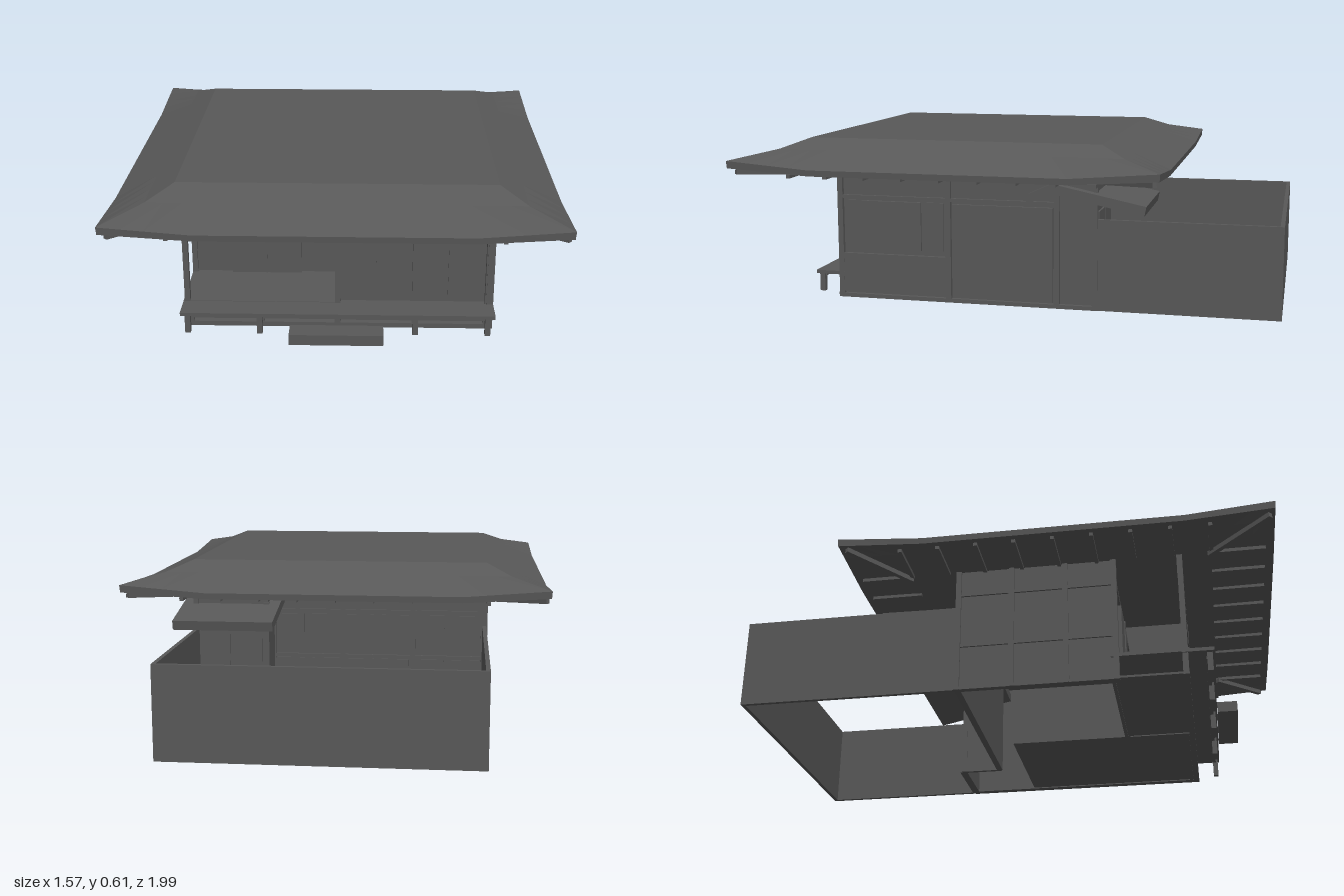
import * as THREE from 'three';

const material = new THREE.MeshStandardMaterial({ color: 0x585858, flatShading: true, side: THREE.DoubleSide });

export function createModel() {
  const model = new THREE.Group();
  const house = new THREE.Group();
  house.name = 'house';
  house.rotation.y = -0.008;
  model.add(house);

  const add = (name, geometry) => {
    const mesh = new THREE.Mesh(geometry, material);
    mesh.name = name;
    house.add(mesh);
    return mesh;
  };
  // Box given by its limits on each axis
  const box = (name, x0, x1, y0, y1, z0, z1) => {
    const mesh = add(name, new THREE.BoxGeometry(x1 - x0, y1 - y0, z1 - z0));
    mesh.position.set((x0 + x1) / 2, (y0 + y1) / 2, (z0 + z1) / 2);
    return mesh;
  };
  const post = (name, x, z, y0 = 0, y1 = 0.485, r = 0.01) => box(name, x - r, x + r, y0, y1, z - r, z + r);

  // Hipped roof: rectangular rings [half width, half depth, height, corner lift] from the top to the underside
  const roofZ = 0.2, perSide = 20;
  const rings = [
    [0, 0, 0.605, 0], [0.555, 0.552, 0.605, 0], [0.645, 0.647, 0.567, 0], [0.781, 0.788, 0.511, 0.025],
    [0.779, 0.786, 0.489, 0.02], [0.71, 0.71, 0.488, 0.01], [0.56, 0.56, 0.486, 0], [0, 0, 0.486, 0],
  ];
  const positions = [], index = [], count = perSide * 4;
  for (const [hx, hz, y, lift] of rings) {
    for (let i = 0; i < count; i++) {
      const side = Math.floor(i / perSide), s = 1 - 2 * (i % perSide) / perSide;
      const [x, z] = [[1, s], [s, -1], [-1, -s], [-s, 1]][side];
      positions.push(x * hx, y + lift * Math.max(0, (Math.abs(s) - 0.6) / 0.4), z * hz + roofZ);
    }
  }
  for (let r = 0; r < rings.length - 1; r++) {
    for (let i = 0; i < count; i++) {
      const j = (i + 1) % count, a = r * count, b = a + count;
      index.push(a + i, b + i, b + j, a + i, b + j, a + j);
    }
  }
  const roofGeometry = new THREE.BufferGeometry();
  roofGeometry.setAttribute('position', new THREE.Float32BufferAttribute(positions, 3));
  roofGeometry.setIndex(index);
  const roof = roofGeometry.toNonIndexed();
  roof.computeVertexNormals();
  add('roof', roof);

  // Rafters under the four eaves and along the hips
  for (let i = -4; i <= 4; i++) {
    const t = i * 0.14;
    for (const s of [-1, 1]) {
      const a = 0.56 * s, b = 0.755 * s;
      box('sideRafter', Math.min(a, b), Math.max(a, b), 0.476, 0.489, roofZ + t - 0.007, roofZ + t + 0.007);
      box('endRafter', t - 0.007, t + 0.007, 0.476, 0.489, roofZ + Math.min(a, b), roofZ + Math.max(a, b));
    }
  }
  for (const sx of [-1, 1]) for (const sz of [-1, 1]) {
    const hip = add('hipRafter', new THREE.BoxGeometry(0.018, 0.018, 0.29));
    hip.position.set(sx * 0.66, 0.484, roofZ + sz * 0.66);
    hip.lookAt(sx * 0.77, 0.497, roofZ + sz * 0.77);
  }

  // Long right wall, with its frame and panels
  box('sideWall', 0.535, 0.55, 0, 0.485, -0.33, 0.65);
  for (const z of [0.642, 0.22, -0.19, -0.33]) post('wallPost', 0.555, z);
  box('sideRail', 0.55, 0.563, 0.38, 0.392, -0.19, 0.65);
  box('sideSill', 0.55, 0.565, 0, 0.015, -0.33, 0.65);
  box('sidePanel', 0.55, 0.564, 0.022, 0.17, 0.23, 0.635);
  box('sidePanel', 0.55, 0.562, 0.018, 0.37, -0.175, 0.205);
  box('sidePanel', 0.55, 0.562, 0.018, 0.46, -0.32, -0.205);
  box('sideWindow', 0.55, 0.564, 0.19, 0.372, 0.325, 0.535);
  box('sideWindow', 0.55, 0.556, 0.19, 0.372, 0.24, 0.62);

  // Left wall behind the porch
  box('leftWall', -0.556, -0.54, 0, 0.485, -0.18, 0.4);
  for (const z of [0.4, 0.22, 0.02, -0.18]) post('wallPost', -0.555, z);
  for (const y of [0, 0.17, 0.38]) box('leftRail', -0.563, -0.55, y, y + 0.012, -0.18, 0.4);

  // Front room on the right half, the sliding panels on two tracks
  box('frontWall', 0, 0.55, 0, 0.485, 0.615, 0.63);
  [0.01, 0.14, 0.27, 0.4].forEach((x, i) => {
    const z = [0.638, 0.638, 0.649, 0.638][i];
    box('slidingPanel', x, x + 0.128, 0.108, 0.372, 0.63, z);
  });
  box('porchPartition', -0.008, 0.008, 0, 0.485, 0.4, 0.64);

  // Open porch on the left half
  box('porchBackWall', -0.55, 0, 0, 0.485, 0.38, 0.393);
  [-0.54, -0.41, -0.277, -0.145].forEach((x, i) => {
    box('slidingPanel', x, x + 0.132, 0.102, 0.374, 0.39, i === 1 || i === 2 ? 0.413 : 0.4);
  });
  box('slidingPanelStile', -0.281, -0.275, 0.102, 0.374, 0.41, 0.417);
  box('porchLintel', -0.55, 0, 0.375, 0.392, 0.39, 0.41);
  box('frontLintel', -0.55, 0.55, 0.375, 0.392, 0.637, 0.652);
  box('frontTransom', -0.55, 0.55, 0.392, 0.485, 0.632, 0.642);
  for (const x of [-0.55, 0, 0.55]) post('porchPost', x, 0.643);
  box('topBeam', -0.56, 0.56, 0.472, 0.485, 0.632, 0.652);

  // Veranda deck with legs, and the step
  box('porchDeck', -0.565, 0, 0.087, 0.1, 0.38, 0.65);
  box('deck', -0.565, 0.565, 0.085, 0.098, 0.63, 0.745);
  box('deckBeam', -0.52, 0.54, 0.072, 0.086, 0.715, 0.73);
  for (const x of [-0.54, -0.28, 0, 0.28, 0.54]) {
    post('deckLeg', x, 0.728, 0.015, 0.086);
    post('deckPier', x, 0.642, 0, 0.086);
  }
  box('step', -0.17, 0.165, 0.015, 0.055, 0.745, 0.82);
  box('frontSill', -0.565, 0.565, 0, 0.018, 0.632, 0.654);

  // Ground floors
  box('roomFloor', 0, 0.55, 0.004, 0.012, -0.07, 0.65);
  box('porchFloor', -0.56, 0, 0.004, 0.012, 0.38, 0.65);

  // Back wall with rails and a row of windows
  box('backWall', -0.55, 0.28, 0, 0.485, -0.18, -0.166);
  for (const y of [0, 0.09, 0.2, 0.38]) box('backRail', -0.55, 0.28, y, y + 0.012, -0.19, -0.175);
  for (let i = 0; i <= 6; i++) {
    const x = -0.55 + i * 0.138;
    if (i % 2 === 0) post('backPost', x, -0.18);
    if (i < 6) {
      box('backWindow', x + 0.015, x + 0.123, 0.22, 0.372, -0.186, -0.175);
      box('backPanel', x + 0.015, x + 0.123, 0.107, 0.195, -0.186, -0.175);
    }
  }

  // Projecting rear bay with a door
  box('bayBackWall', 0.28, 0.55, 0, 0.46, -0.335, -0.32);
  box('baySideWall', 0.275, 0.29, 0, 0.46, -0.335, -0.18);
  post('bayPost', 0.282, -0.33, 0, 0.44);
  for (const x of [0.3, 0.425]) box('bayDoor', x, x + 0.115, 0.09, 0.36, -0.342, -0.33);
  box('baySill', 0.28, 0.55, 0, 0.08, -0.35, -0.33);

  // Small roof over the bay, made of side profiles (z, y) extruded across x
  const slab = (name, x0, x1, points) => {
    const shape = new THREE.Shape(points.map(([z, y]) => new THREE.Vector2(z, y)));
    const mesh = add(name, new THREE.ExtrudeGeometry(shape, { depth: x1 - x0, bevelEnabled: false }));
    mesh.rotation.y = -Math.PI / 2;
    mesh.position.x = x1;
  };
  slab('bayRoof', 0.23, 0.605, [[-0.18, 0.465], [-0.52, 0.395], [-0.513, 0.36], [-0.18, 0.43]]);
  slab('bayRoofFront', 0.555, 0.605, [[-0.18, 0.465], [-0.18, 0.43], [-0.085, 0.388], [-0.092, 0.425]]);

  // Yard walls
  box('yardWall', 0.545, 0.56, 0, 0.335, -0.995, -0.33);
  box('yardWall', -0.56, -0.545, 0, 0.335, -0.995, -0.18);
  box('yardWall', -0.56, 0.56, 0, 0.335, -0.995, -0.98);

  return model;
}
